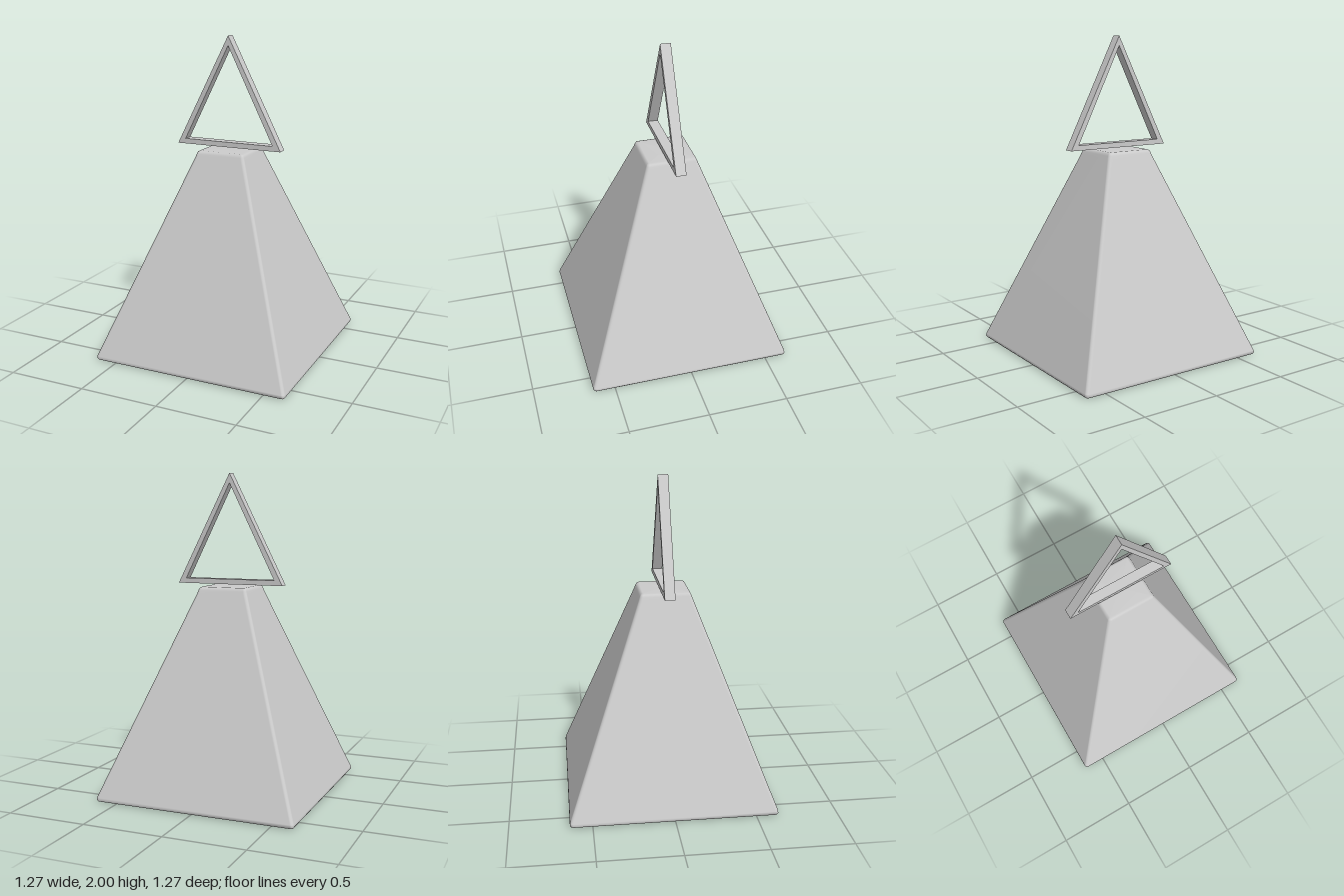
import * as THREE from 'three';

const material = new THREE.MeshStandardMaterial({ color: 0xcccccc });

// Stacks rounded-square rings [halfWidth, y, cornerRadius] into a closed solid
function squareLoft(rings, cornerSteps = 4) {
  const positions = [], index = [];
  const n = 4 * (cornerSteps + 1);
  for (const [w, y, r] of rings) {
    for (let c = 0; c < 4; c++) {
      const mid = Math.PI / 4 + c * Math.PI / 2;
      const cx = Math.sign(Math.cos(mid)) * (w - r), cz = Math.sign(Math.sin(mid)) * (w - r);
      for (let s = 0; s <= cornerSteps; s++) {
        const a = (c + s / cornerSteps) * Math.PI / 2;
        positions.push(cx + r * Math.cos(a), y, cz + r * Math.sin(a));
      }
    }
  }
  const last = rings.length - 1;
  const bottom = positions.length / 3, top = bottom + 1;
  positions.push(0, rings[0][1], 0, 0, rings[last][1], 0);
  for (let i = 0; i < n; i++) {
    const j = (i + 1) % n;
    for (let k = 0; k < last; k++) {
      const a = k * n + i, b = k * n + j;
      index.push(a, a + n, b, b, a + n, b + n);
    }
    index.push(bottom, i, j, top, last * n + j, last * n + i);
  }
  const geometry = new THREE.BufferGeometry();
  geometry.setAttribute('position', new THREE.Float32BufferAttribute(positions, 3));
  geometry.setIndex(index);
  geometry.computeVertexNormals();
  return geometry;
}

function triangle(halfWidth, base, apex, Type) {
  return new Type([
    new THREE.Vector2(-halfWidth, base),
    new THREE.Vector2(halfWidth, base),
    new THREE.Vector2(0, apex),
  ]);
}

export function createModel() {
  const model = new THREE.Group();
  model.name = 'hangingWeight';

  // Tapered square body with softly rounded edges
  const body = new THREE.Mesh(squareLoft([
    [0.617, 0, 0.006],
    [0.63, 0.004, 0.014],
    [0.637, 0.014, 0.02],
    [0.635, 0.028, 0.02],
    [0.166, 1.262, 0.02],
    [0.16, 1.28, 0.018],
    [0.153, 1.294, 0.014],
    [0.14, 1.3, 0.006],
  ]), material);
  body.name = 'weightBody';
  model.add(body);

  // Flat triangular hanger, hovering just over the top face
  const depth = 0.064;
  const outline = triangle(0.351, 1.311, 2, THREE.Shape);
  outline.holes.push(triangle(0.298, 1.343, 1.94, THREE.Path));
  const hanger = new THREE.Mesh(
    new THREE.ExtrudeGeometry(outline, { depth, bevelEnabled: false }), material);
  hanger.position.z = -depth / 2;
  hanger.name = 'triangleHanger';
  model.add(hanger);

  return model;
}
